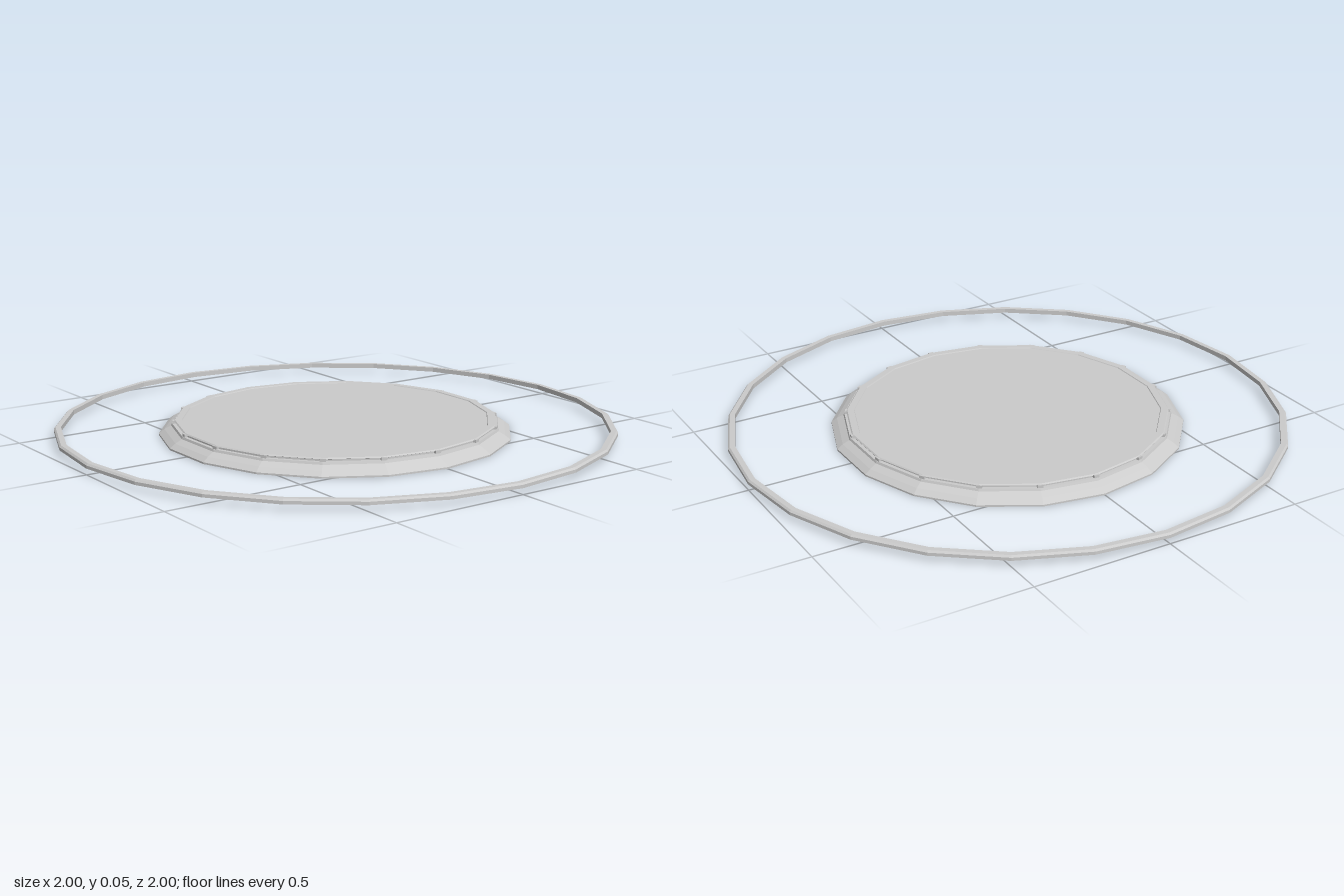
import * as THREE from 'three';

const material = new THREE.MeshStandardMaterial({ color: 0xcccccc, flatShading: true });

// Faceted solid of revolution with a corner on +x
function turned(name, profile, sides) {
  const points = profile.map(([r, y]) => new THREE.Vector2(r, y));
  const mesh = new THREE.Mesh(new THREE.LatheGeometry(points, sides, Math.PI / 2), material);
  mesh.name = name;
  return mesh;
}

export function createModel() {
  const model = new THREE.Group();
  model.name = 'ringedDisc';
  const sides = 18;

  // Thin hoop floating around the disc
  model.add(turned('outerRing', [
    [0.975, 0.021], [1, 0.021], [1, 0.032], [0.994, 0.038], [0.975, 0.038], [0.975, 0.021],
  ], 24));

  // Wide base with a sloping edge and a narrow shelf
  model.add(turned('base', [
    [0, 0], [0.632, 0], [0.632, 0.006], [0.612, 0.021], [0.588, 0.034], [0.585, 0.042], [0.57, 0.042],
  ], sides));

  // Raised lid: recessed wall, rim and shallow sunken top
  model.add(turned('lid', [
    [0.572, 0.04], [0.572, 0.048], [0.578, 0.05], [0.574, 0.054], [0.55, 0.054], [0.548, 0.051], [0, 0.051],
  ], sides));

  // Small posts dividing the groove at each corner
  const posts = new THREE.Group();
  posts.name = 'groovePosts';
  const postGeometry = new THREE.BoxGeometry(0.016, 0.012, 0.02);
  for (let i = 0; i < sides; i++) {
    const angle = (i / sides) * Math.PI * 2;
    const post = new THREE.Mesh(postGeometry, material);
    post.name = 'groovePost';
    post.position.set(Math.cos(angle) * 0.574, 0.046, Math.sin(angle) * 0.574);
    post.rotation.y = -angle;
    posts.add(post);
  }
  model.add(posts);

  return model;
}
